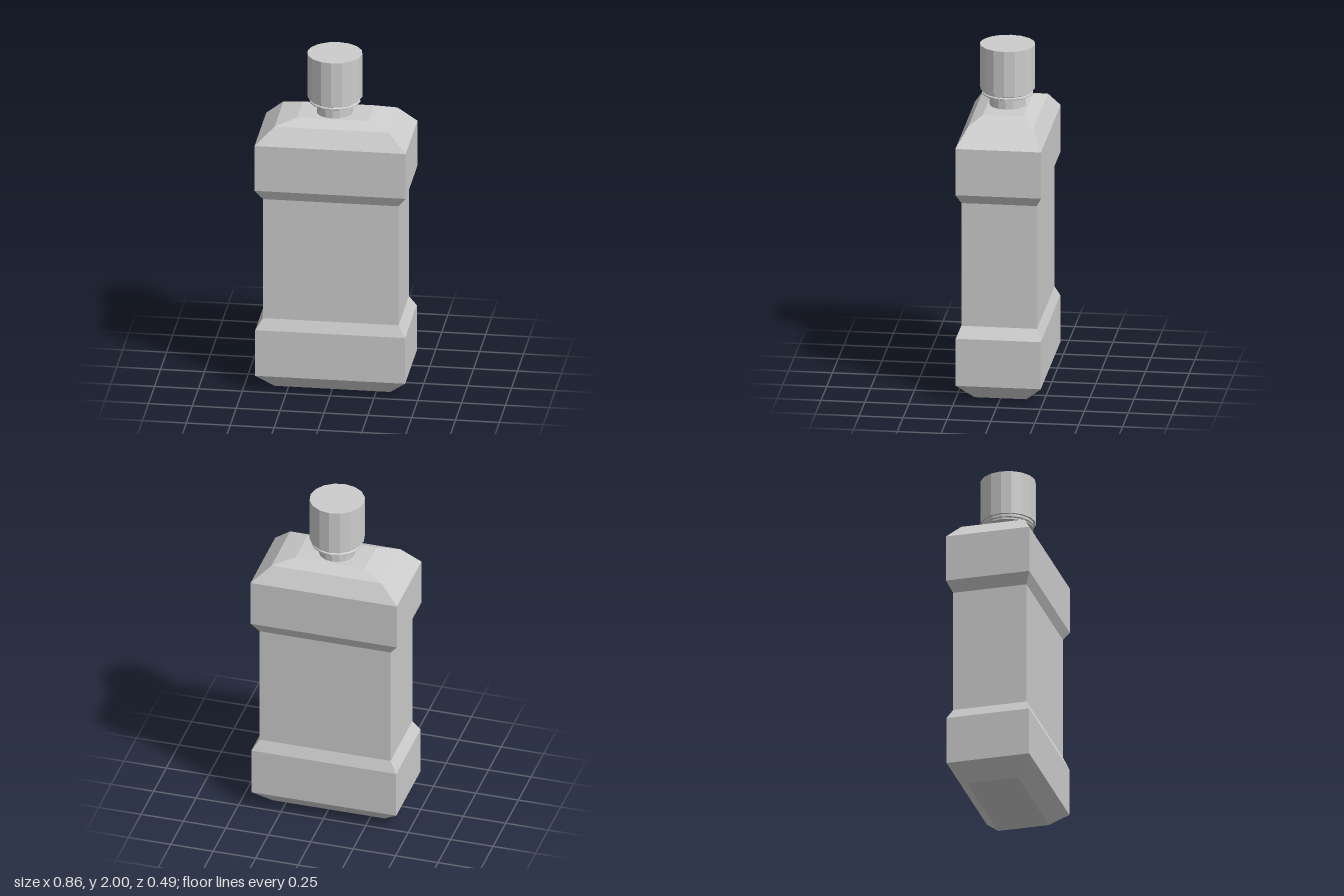
import * as THREE from 'three';

// Stack of rectangular sections [y, halfWidth, halfDepth], closed at both ends
function loftRects(sections) {
  const pos = [];
  const rings = sections.map(([y, w, d]) => [[-w, y, d], [w, y, d], [w, y, -d], [-w, y, -d]]);
  const quad = (a, b, c, d) => pos.push(...a, ...b, ...c, ...a, ...c, ...d);
  for (let i = 0; i < rings.length - 1; i++) {
    const lo = rings[i], hi = rings[i + 1];
    for (let k = 0; k < 4; k++) {
      const n = (k + 1) % 4;
      quad(lo[k], lo[n], hi[n], hi[k]);
    }
  }
  const bottom = rings[0], top = rings[rings.length - 1];
  quad(bottom[3], bottom[2], bottom[1], bottom[0]);
  quad(top[0], top[1], top[2], top[3]);
  const geo = new THREE.BufferGeometry();
  geo.setAttribute('position', new THREE.Float32BufferAttribute(pos, 3));
  geo.computeVertexNormals();
  return geo;
}

// 16-sided turned part from [radius, y] points, bottom to top, with faceted sides
function turned(points) {
  const profile = points.map(([r, y]) => new THREE.Vector2(r, y));
  const geo = new THREE.LatheGeometry(profile, 16).toNonIndexed();
  geo.computeVertexNormals();
  return geo;
}

export function createModel() {
  const model = new THREE.Group();
  model.name = 'bottle';
  const grey = new THREE.MeshStandardMaterial({ color: 0xcccccc });
  grey.name = 'light grey';

  const add = (name, geometry, parent = model) => {
    const mesh = new THREE.Mesh(geometry, grey);
    mesh.name = name;
    parent.add(mesh);
    return mesh;
  };

  // Body: chamfered foot, recessed label panel, sloping shoulders
  add('body', loftRects([
    [0, 0.33, 0.148],
    [0.095, 0.427, 0.242],
    [0.375, 0.427, 0.242],
    [0.44, 0.386, 0.215],
    [1.17, 0.386, 0.215],
    [1.23, 0.431, 0.244],
    [1.505, 0.431, 0.244],
    [1.605, 0.325, 0.185],
    [1.64, 0.204, 0.116],
  ]));

  // Neck, collar and cap sit slightly off the body's axis
  const closure = new THREE.Group();
  closure.name = 'closure';
  closure.position.set(-0.006, 0, 0.003);
  model.add(closure);

  add('neck', turned([[0.103, 1.63], [0.103, 1.72]]), closure);

  // Two thin stepped rings below the cap
  add('collar', turned([
    [0, 1.704], [0.137, 1.704], [0.145, 1.708], [0.145, 1.715],
    [0.137, 1.72], [0.145, 1.725], [0.145, 1.745],
  ]), closure);

  add('cap', turned([[0, 1.74], [0.157, 1.74], [0.157, 2], [0, 2]]), closure);

  return model;
}
